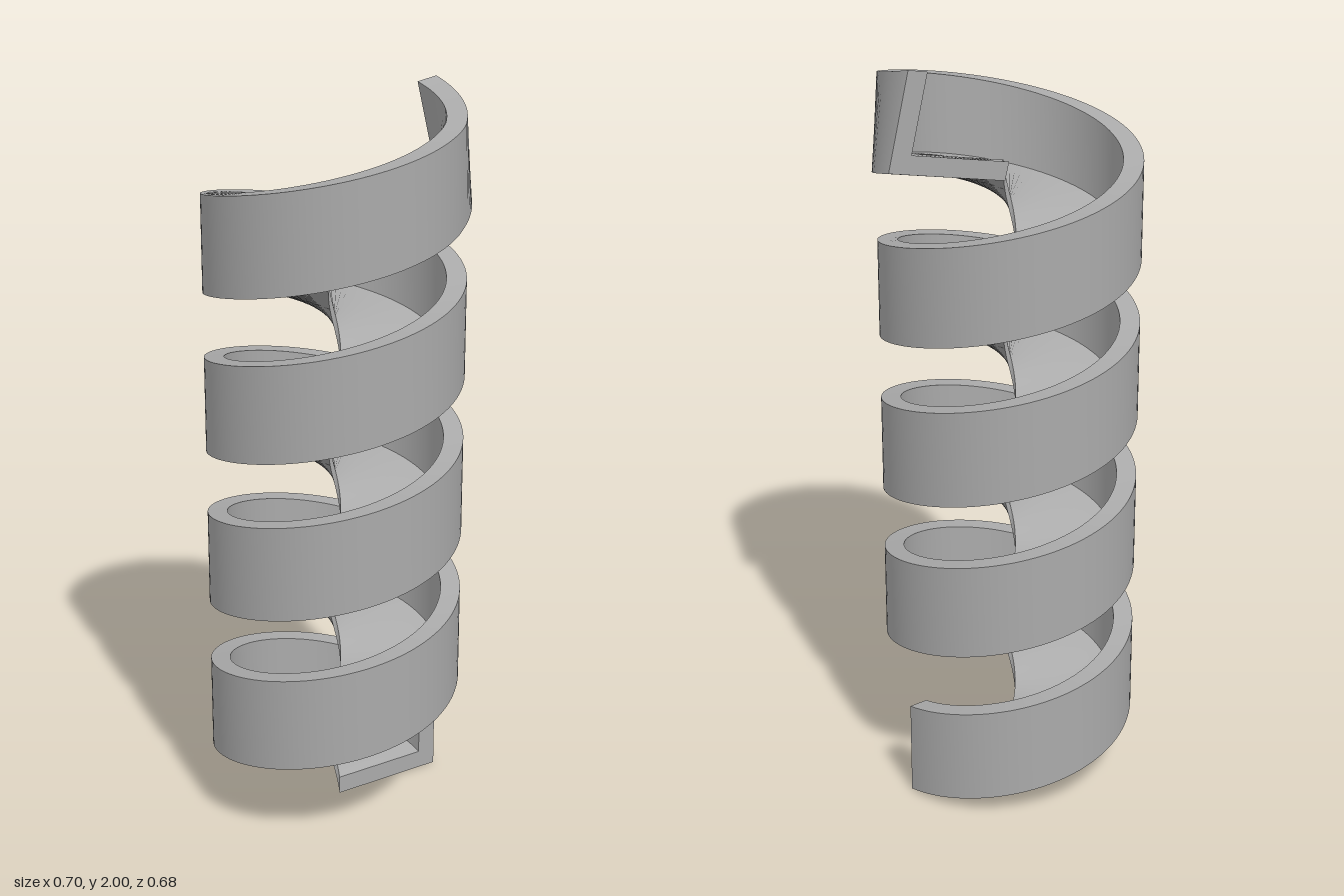
import * as THREE from 'three';

const AXIS_X = -0.013;               // helix axis, offset so the flared lip keeps the model centred
const TURNS = 4, PITCH = 0.4335, STEPS = 384;
const INNER = 0.016, WALL = 0.286, OUTER = 0.338, FLOOR = 0.05, HEIGHT = 0.26;
const FLARE_START = TURNS - 51 / 360; // the last part of the ramp tips outward

// L-shaped cross-section as [radius, height], counter-clockwise
const PROFILE = [
  [INNER, 0], [OUTER, 0], [OUTER, HEIGHT], [WALL, HEIGHT], [WALL, FLOOR], [INNER, FLOOR],
];

// Point of the section at a given turn
function sectionPoint(turn, [r, h]) {
  const a = turn * Math.PI * 2;
  const t = Math.max(0, (turn - FLARE_START) / (TURNS - FLARE_START));
  const inward = r - OUTER, up = h / HEIGHT;
  // tipped section at the very end: radial, vertical and along-path parts
  const endR = 0.363 + inward * 1.01 - 0.055 * up;
  const endY = 0.016 + inward * 0.21 + 0.25 * up;
  const endS = 0.012 + inward * 0.13 - 0.012 * up;
  const radial = r + (endR - r) * t;
  const y = turn * PITCH + h + (endY - h) * t;
  const side = endS * t;
  return [
    AXIS_X + radial * Math.cos(a) + side * Math.sin(a),
    y,
    -radial * Math.sin(a) + side * Math.cos(a),
  ];
}

function makeGeometry(positions, index) {
  const g = new THREE.BufferGeometry();
  g.setAttribute('position', new THREE.Float32BufferAttribute(positions, 3));
  g.setIndex(index);
  g.computeVertexNormals();
  return g;
}

// One smooth band swept by a single edge of the section
function band(p, q) {
  const positions = [], index = [];
  for (let i = 0; i <= STEPS; i++) {
    const turn = (i / STEPS) * TURNS;
    positions.push(...sectionPoint(turn, p), ...sectionPoint(turn, q));
    if (i < STEPS) {
      const k = i * 2;
      index.push(k, k + 2, k + 1, k + 1, k + 2, k + 3);
    }
  }
  return makeGeometry(positions, index);
}

// Flat end of the ramp
function cap(turn, flip) {
  const index = [0, 1, 4, 0, 4, 5, 1, 2, 4, 2, 3, 4];
  if (flip) index.reverse();
  return makeGeometry(PROFILE.flatMap((p) => sectionPoint(turn, p)), index);
}

export function createModel() {
  const model = new THREE.Group();
  model.name = 'spiralRamp';
  const grey = new THREE.MeshStandardMaterial({ color: 0xaaaaaa });
  grey.name = 'grey';
  const add = (name, geometry) => {
    const mesh = new THREE.Mesh(geometry, grey);
    mesh.name = name;
    model.add(mesh);
  };

  const names = ['floorUnderside', 'wallOutside', 'wallRim', 'wallInside', 'floorTop', 'coreEdge'];
  names.forEach((name, i) => add(name, band(PROFILE[i], PROFILE[(i + 1) % PROFILE.length])));
  add('lowerEnd', cap(0, false));
  add('upperEnd', cap(TURNS, true));
  return model;
}
